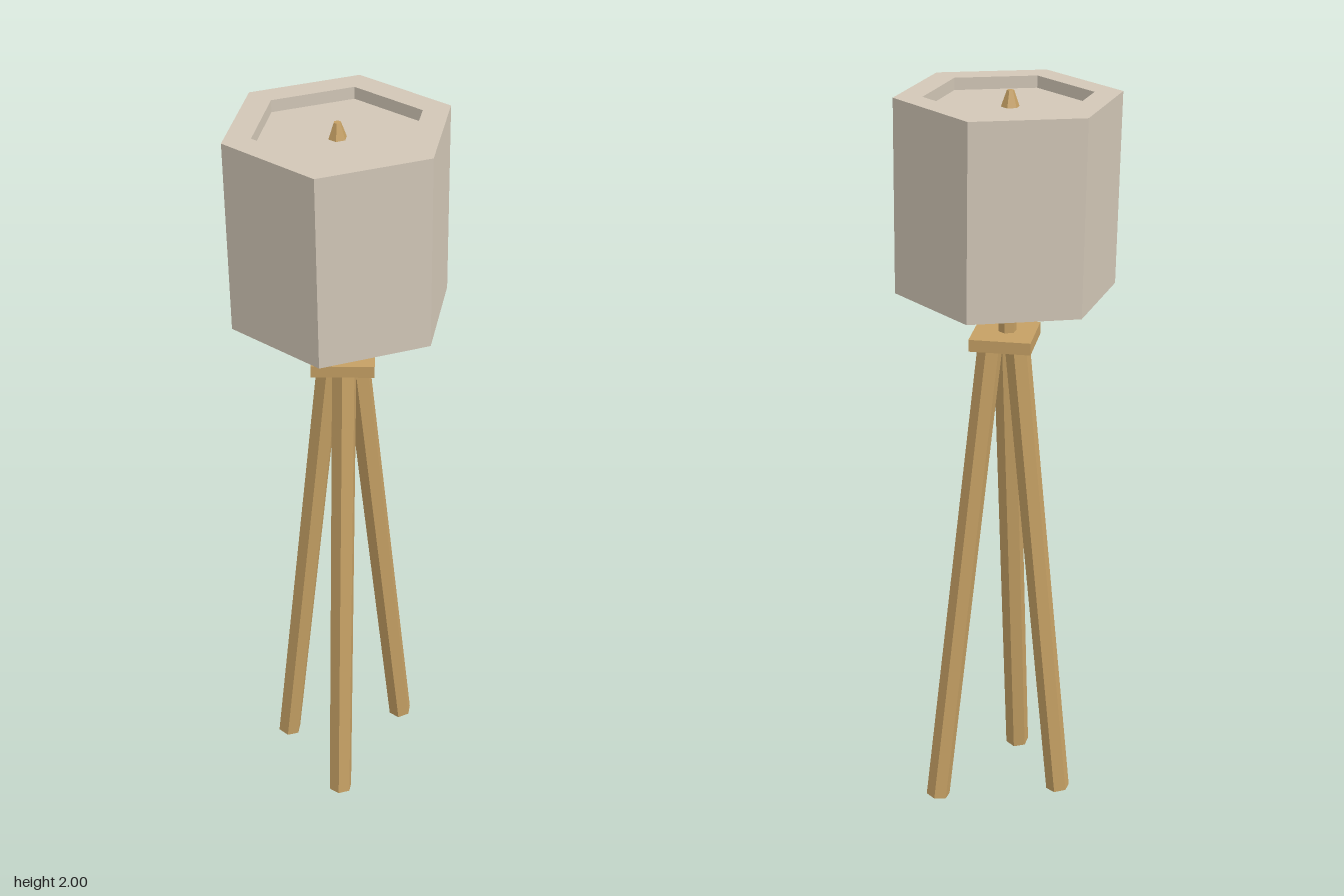
import * as THREE from 'three';

const wood = new THREE.MeshStandardMaterial({ color: 0xc5a064 });
wood.name = 'wood';
const fabric = new THREE.MeshStandardMaterial({ color: 0xd2c7b7 });
fabric.name = 'shade fabric';

// Faceted mesh with one normal per face
function part(name, geometry, material) {
  const geo = geometry.index ? geometry.toNonIndexed() : geometry;
  geo.computeVertexNormals();
  const mesh = new THREE.Mesh(geo, material);
  mesh.name = name;
  return mesh;
}

// Six-sided rod running from point a up to point b
function rod(name, a, b, rBottom, rTop) {
  const start = new THREE.Vector3(...a);
  const end = new THREE.Vector3(...b);
  const dir = end.clone().sub(start);
  const mesh = part(name, new THREE.CylinderGeometry(rTop, rBottom, dir.length(), 6), wood);
  mesh.position.copy(start).add(end).multiplyScalar(0.5);
  mesh.quaternion.setFromUnitVectors(new THREE.Vector3(0, 1, 0), dir.normalize());
  return mesh;
}

export function createModel() {
  const lamp = new THREE.Group();
  lamp.name = 'tripodLamp';

  // Tripod legs: foot and top of each
  const legs = [
    ['rightLeg', [-0.152, 0.004, 0.126], [-0.025, 1.35, 0.035]],
    ['backLeg', [-0.068, 0.014, -0.137], [-0.012, 1.35, -0.023]],
    ['leftLeg', [0.204, 0.01, 0.069], [0.042, 1.35, 0.02]],
  ];
  for (const [name, foot, top] of legs) lamp.add(rod(name, foot, top, 0.033, 0.033));

  // Square plate joining the legs
  const plate = part('plate', new THREE.BoxGeometry(0.16, 0.032, 0.16), wood);
  plate.position.set(-0.001, 1.36, 0.012);
  plate.rotation.y = THREE.MathUtils.degToRad(38);
  lamp.add(plate);

  // Pole through the shade, ending in a tapered finial
  lamp.add(rod('pole', [-0.008, 1.37, 0.01], [-0.008, 1.955, 0], 0.024, 0.024));
  lamp.add(rod('finial', [-0.008, 1.955, 0], [-0.009, 2, 0], 0.025, 0.009));

  // Hexagonal shade: thick wall, open below, recessed lid on top
  const profile = [
    [0, 0.18], [0.212, 0.18], [0.212, -0.248], [0.284, -0.248],
    [0.284, 0.248], [0.212, 0.248], [0.212, 0.217], [0, 0.217],
  ].map(([r, y]) => new THREE.Vector2(r, y));
  const shade = part('shade', new THREE.LatheGeometry(profile, 6), fabric);
  shade.position.set(0, 1.743, 0);
  shade.rotation.set(-0.015, -0.03, 0.007);
  lamp.add(shade);

  return lamp;
}
